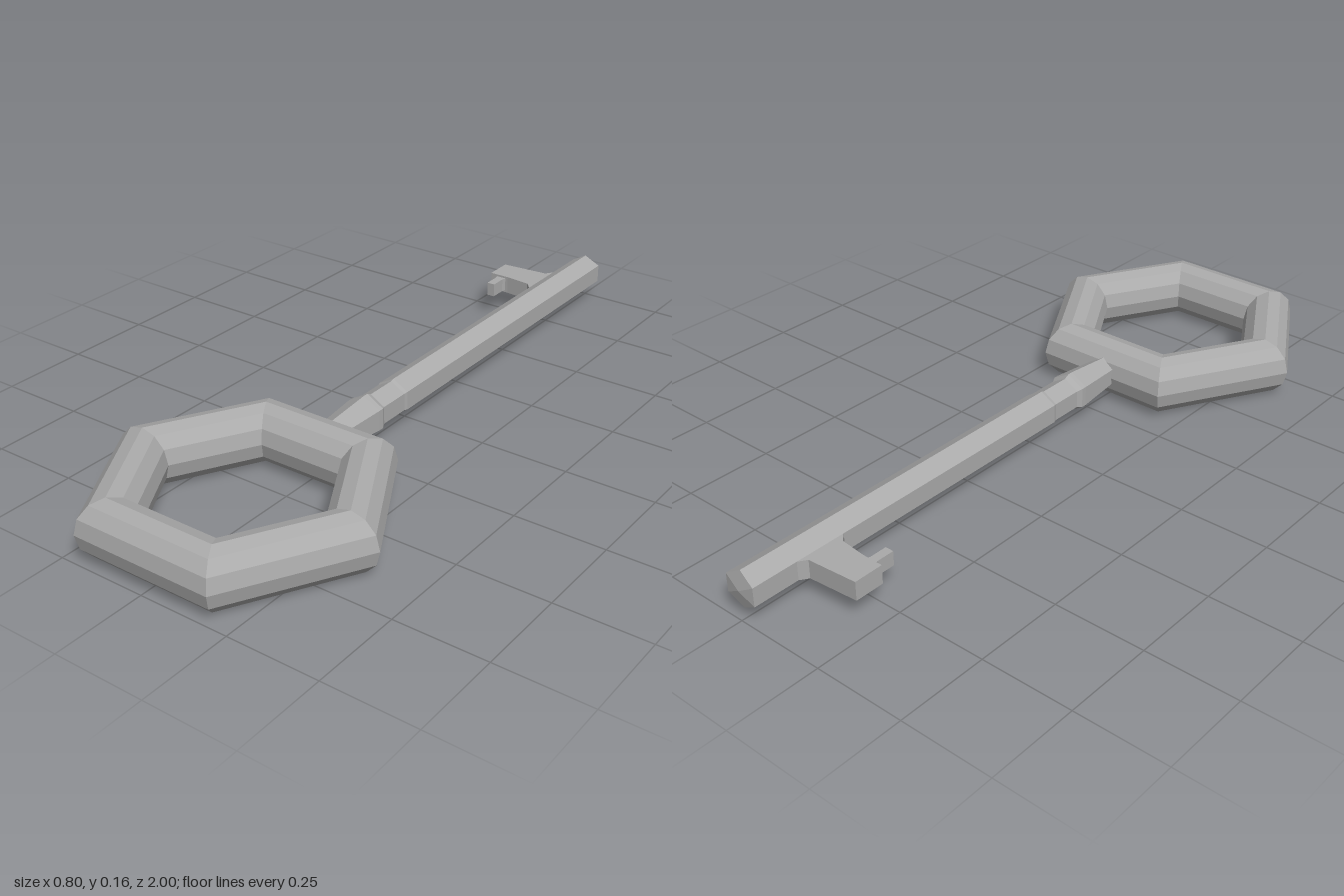
import * as THREE from 'three';

export function createModel() {
  const key = new THREE.Group();
  key.name = 'key';
  const metal = new THREE.MeshStandardMaterial({ color: 0xaaaaaa, flatShading: true });
  metal.name = 'grey metal';

  const add = (name, geometry) => {
    const mesh = new THREE.Mesh(geometry, metal);
    mesh.name = name;
    key.add(mesh);
  };

  // Six-sided bow with a twelve-sided section
  const bow = new THREE.TorusGeometry(0.32, 0.08, 12, 6);
  bow.rotateX(Math.PI / 2).translate(0, 0.08, 0.654);
  add('bow', bow);

  // Hexagonal shaft with a flared collar; profile is [radius, distance towards the tip]
  const profile = [
    [0.043, -0.35], [0.045, -0.31], [0.057, -0.18], [0.057, -0.165], [0.049, -0.15],
    [0.049, -0.06], [0.052, -0.05], [0.052, 1], [0, 1],
  ].map(([r, d]) => new THREE.Vector2(r, d));
  const shaft = new THREE.LatheGeometry(profile, 6);
  // The end face slopes back slightly above and below its middle
  const p = shaft.attributes.position;
  for (let i = 0; i < p.count; i++) {
    if (p.getY(i) > 0.9) p.setY(i, 1 - 0.22 * Math.abs(p.getZ(i)));
  }
  shaft.rotateX(-Math.PI / 2).translate(0, 0.083, 0);
  add('shaft', shaft);

  // Flat plates lying on the shaft's side, outlined as [x, z]
  const plate = (name, outline, thickness) => {
    const shape = new THREE.Shape(outline.map(([x, z]) => new THREE.Vector2(x, z)));
    const geometry = new THREE.ExtrudeGeometry(shape, { depth: thickness, bevelEnabled: false });
    geometry.rotateX(Math.PI / 2).translate(0, 0.083 + thickness / 2, 0);
    add(name, geometry);
  };
  plate('bit', [
    [-0.03, -0.87], [-0.045, -0.865], [-0.06, -0.843], [-0.2, -0.832], [-0.2, -0.75],
    [-0.14, -0.75], [-0.065, -0.742], [-0.045, -0.72], [-0.03, -0.715],
  ], 0.052);
  plate('tooth', [
    [-0.182, -0.76], [-0.176, -0.738], [-0.176, -0.69], [-0.152, -0.69], [-0.152, -0.738], [-0.146, -0.76],
  ], 0.04);

  return key;
}
